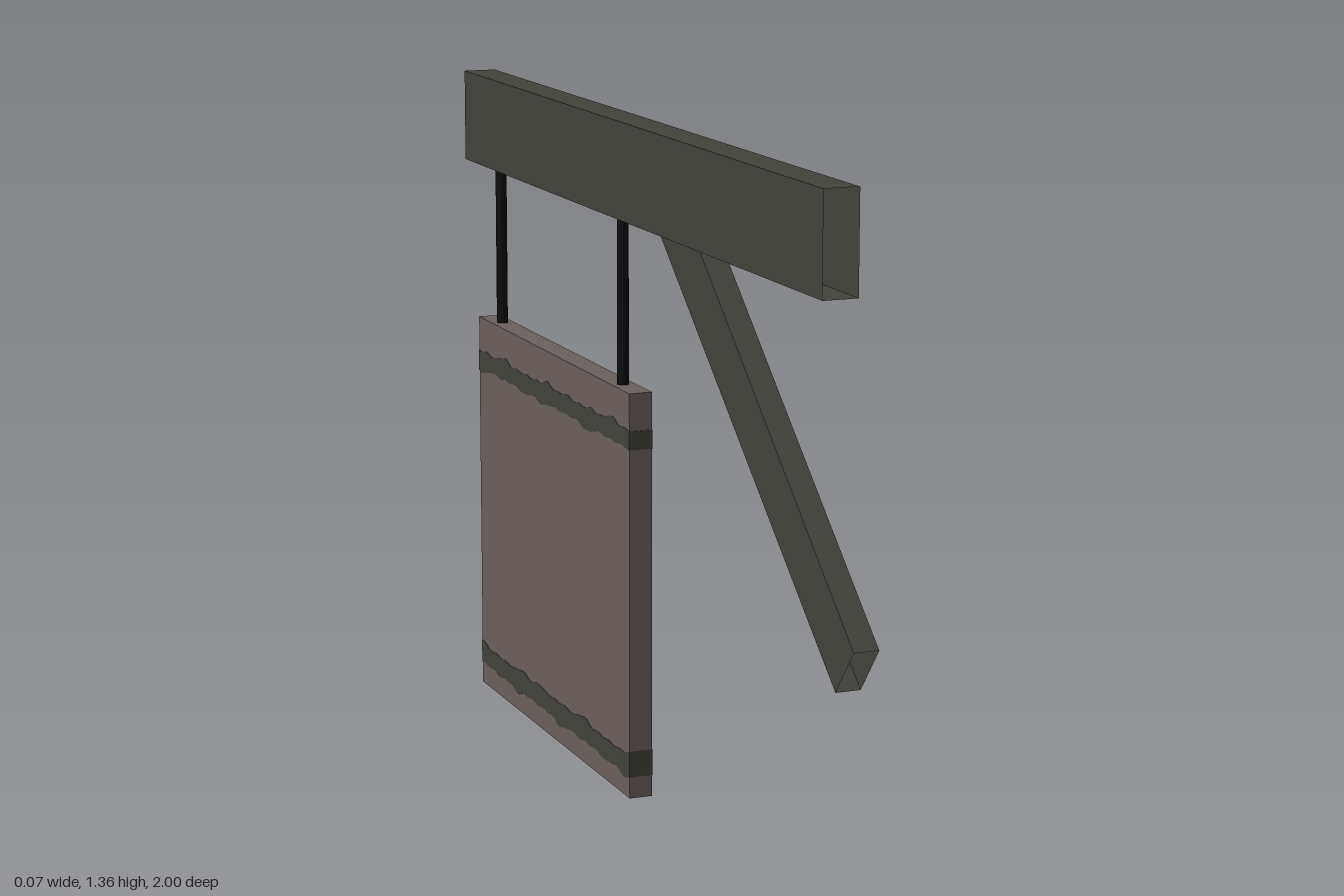
import * as THREE from 'three';

// Hollow four-sided beam, open at the front. Corners are [z, y].
function hollowBeam(half, frontTop, frontBottom, backBottom, backTop, capBack) {
  const loop = (top, bottom) => [
    [-half, top[1], top[0]], [half, top[1], top[0]],
    [half, bottom[1], bottom[0]], [-half, bottom[1], bottom[0]],
  ];
  const f = loop(frontTop, frontBottom), b = loop(backTop, backBottom);
  const pos = [];
  const quad = (p, q, r, s) => pos.push(...p, ...q, ...r, ...p, ...r, ...s);
  for (let i = 0; i < 4; i++) {
    const j = (i + 1) % 4;
    quad(f[i], f[j], b[j], b[i]);
  }
  if (capBack) quad(b[0], b[1], b[2], b[3]);
  const geometry = new THREE.BufferGeometry();
  geometry.setAttribute('position', new THREE.Float32BufferAttribute(pos, 3));
  geometry.computeVertexNormals();
  return geometry;
}

// Painted band with ragged edges, wrapped just outside the board
function raggedBand(low, high, seed) {
  const z0 = -0.951, z1 = -0.049, steps = 60;
  const wobble = (t, s) => {
    const bump = Math.sin(t * 31 + s) * Math.sin(t * 13 + s * 2.3);
    return 0.011 * Math.max(0, bump) + 0.002 * Math.sin(t * 90 + s);
  };
  const shape = new THREE.Shape();
  shape.moveTo(z0, low);
  for (let i = 0; i <= steps; i++) {
    const t = i / steps;
    shape.lineTo(z0 + (z1 - z0) * t, low - wobble(t, seed));
  }
  for (let i = steps; i >= 0; i--) {
    const t = i / steps;
    shape.lineTo(z0 + (z1 - z0) * t, high + wobble(t, seed + 1.7));
  }
  const depth = 0.05;
  return new THREE.ExtrudeGeometry(shape, { depth, bevelEnabled: false })
    .translate(0, 0, -depth / 2)
    .rotateY(-Math.PI / 2);
}

export function createModel() {
  const darkWood = new THREE.MeshStandardMaterial({ color: 0x42433b, side: THREE.DoubleSide });
  darkWood.name = 'dark wood';
  const boardWood = new THREE.MeshStandardMaterial({ color: 0x6b605d });
  boardWood.name = 'board wood';
  const blackIron = new THREE.MeshStandardMaterial({ color: 0x0a0a0a });
  blackIron.name = 'black iron';

  const group = new THREE.Group();
  group.name = 'hangingSign';
  const add = (name, geometry, material) => {
    const mesh = new THREE.Mesh(geometry, material);
    mesh.name = name;
    group.add(mesh);
    return mesh;
  };

  // Horizontal beam and diagonal brace
  add('beam', hollowBeam(0.034, [0.877, 1.362], [0.877, 1.17], [-1, 1.17], [-1, 1.362], true), darkWood);
  add('brace', hollowBeam(0.024, [1, 0.58], [0.927, 0.49], [0.11, 1.17], [0.305, 1.17], false), darkWood);

  // Hanging board
  add('board', new THREE.BoxGeometry(0.048, 0.83, 0.9), boardWood).position.set(0, 0.415, -0.5);

  // Painted bands
  add('upperBand', raggedBand(0.719, 0.756, 0.6), darkWood);
  add('lowerBand', raggedBand(0.047, 0.088, 3.1), darkWood);

  // Hanger rods
  for (const z of [-0.145, -0.865]) {
    add('hangerRod', new THREE.CylinderGeometry(0.0125, 0.0125, 0.34, 8), blackIron).position.set(0, 1, z);
  }
  return group;
}
